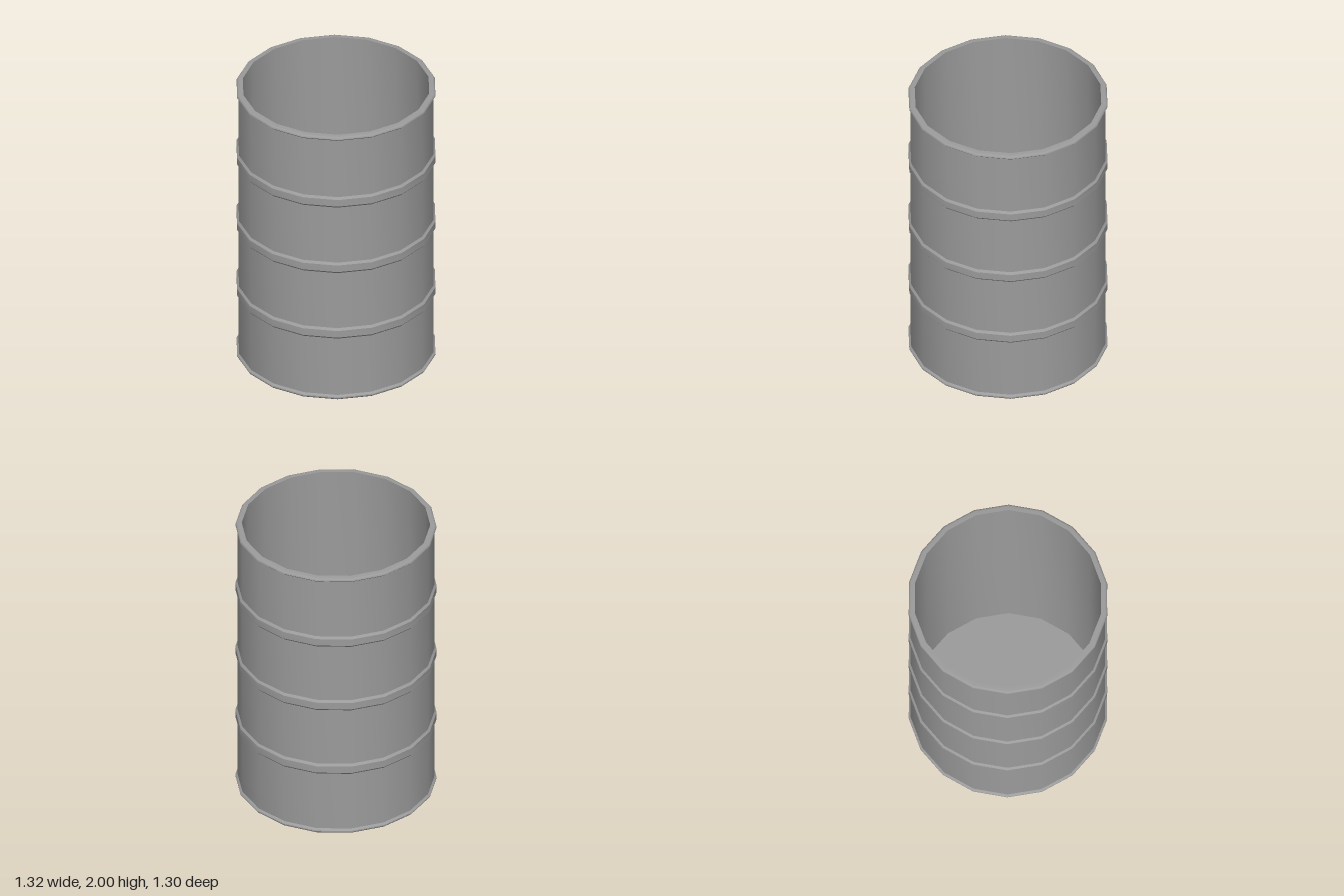
import * as THREE from 'three';
import { toCreasedNormals } from 'three/addons/utils/BufferGeometryUtils.js';

const SIDES = 18;
const WALL = 0.645;  // outer wall radius
const RING = 0.658;  // rims and hoops
const INNER = 0.616; // inner wall radius

export function createModel() {
  const barrel = new THREE.Group();
  barrel.name = 'barrel';
  const metal = new THREE.MeshStandardMaterial({ color: 0x9b9b9b });

  // Turns a [radius, height] profile; always smooth round the barrel,
  // and along its profile either sharp or rounded
  const turn = (name, profile, rounded = false) => {
    const points = profile.map(([r, y]) => new THREE.Vector2(r, y));
    const lathe = new THREE.LatheGeometry(points, SIDES, Math.PI / 2);
    const mesh = new THREE.Mesh(rounded ? lathe : toCreasedNormals(lathe, Math.PI / 6), metal);
    mesh.name = name;
    barrel.add(mesh);
  };

  // Closed base with its chamfered rim
  turn('base', [[0, 0], [0.65, 0]]);
  turn('baseRim', [[0.65, 0], [RING, 0.01], [RING, 0.018], [WALL, 0.03]]);

  // Outer wall
  turn('outerWall', [[WALL, 0.03], [WALL, 1.97]]);

  // Raised hoops
  for (const y of [0.5, 1, 1.5]) {
    turn('hoop', [[WALL, y - 0.04], [RING, y - 0.025], [RING, y + 0.025], [WALL, y + 0.04]]);
  }

  // Open top rim: sharp underside, rounded lip
  turn('topRimUnderside', [[WALL, 1.97], [RING, 1.982]]);
  turn('topRimLip', [[RING, 1.982], [0.657, 1.989], [0.652, 1.996], [0.643, 1.999], [INNER, 2]], true);

  // Hollow inside, down to the floor
  turn('inside', [[INNER, 2], [INNER, 0.03], [0, 0.03]]);

  return barrel;
}
